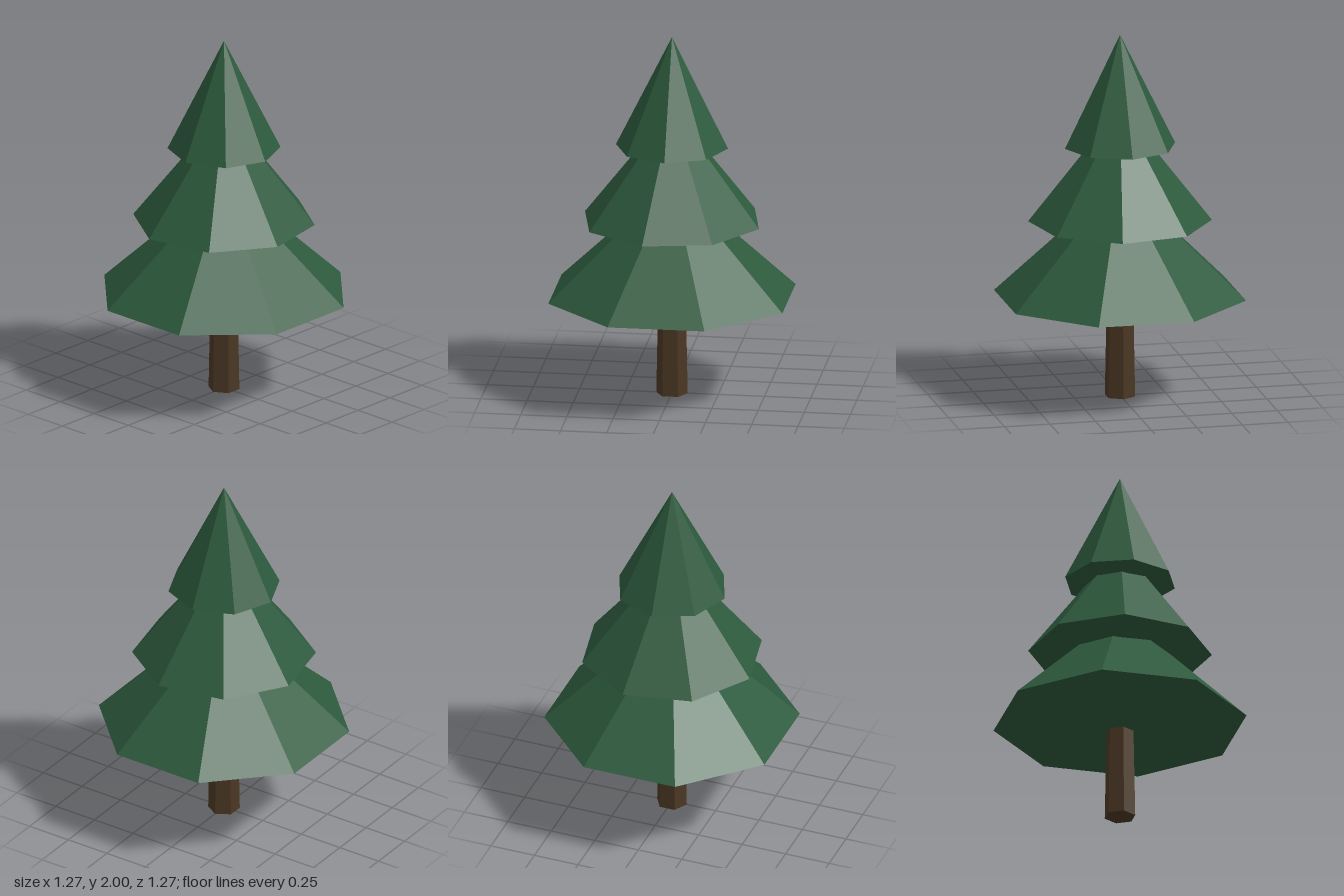
import * as THREE from 'three';

const SIDES = 8;

// Lowest to highest: rim radius, rim height, tip height, underside height, twist in degrees
const TIERS = [
  { name: 'lowerBranches', radius: 0.685, rim: 0.555, tip: 1.2, base: 0.5, twist: 22.5 },
  { name: 'middleBranches', radius: 0.493, rim: 0.97, tip: 1.6, base: 0.93, twist: -11.25 },
  { name: 'topBranches', radius: 0.303, rim: 1.385, tip: 2.0, base: 1.35, twist: 0 },
];

export function createModel() {
  const needles = new THREE.MeshStandardMaterial({ color: 0x2d5a3d, flatShading: true });
  needles.name = 'needleGreen';
  const bark = new THREE.MeshStandardMaterial({ color: 0x4a3723, flatShading: true });
  bark.name = 'barkBrown';

  const tree = new THREE.Group();
  tree.name = 'pineTree';

  const add = (parent, name, geometry, material, y) => {
    const mesh = new THREE.Mesh(geometry, material);
    mesh.name = name;
    mesh.position.y = y;
    parent.add(mesh);
  };

  // Six-sided tapering trunk, reaching a little into the foliage
  add(tree, 'trunk', new THREE.CylinderGeometry(0.073, 0.085, 0.6, 6), bark, 0.3);

  // Each tier is an open cone closed by a shallow tapered underside
  for (const { name, radius, rim, tip, base, twist } of TIERS) {
    const tier = new THREE.Group();
    tier.name = name;
    tier.rotation.y = THREE.MathUtils.degToRad(twist);

    const cone = new THREE.ConeGeometry(radius, tip - rim, SIDES, 1, true);
    add(tier, 'boughs', cone, needles, (tip + rim) / 2);

    const under = new THREE.CylinderGeometry(radius, radius * 0.36, rim - base, SIDES);
    add(tier, 'underside', under, needles, (rim + base) / 2);

    tree.add(tier);
  }
  return tree;
}
